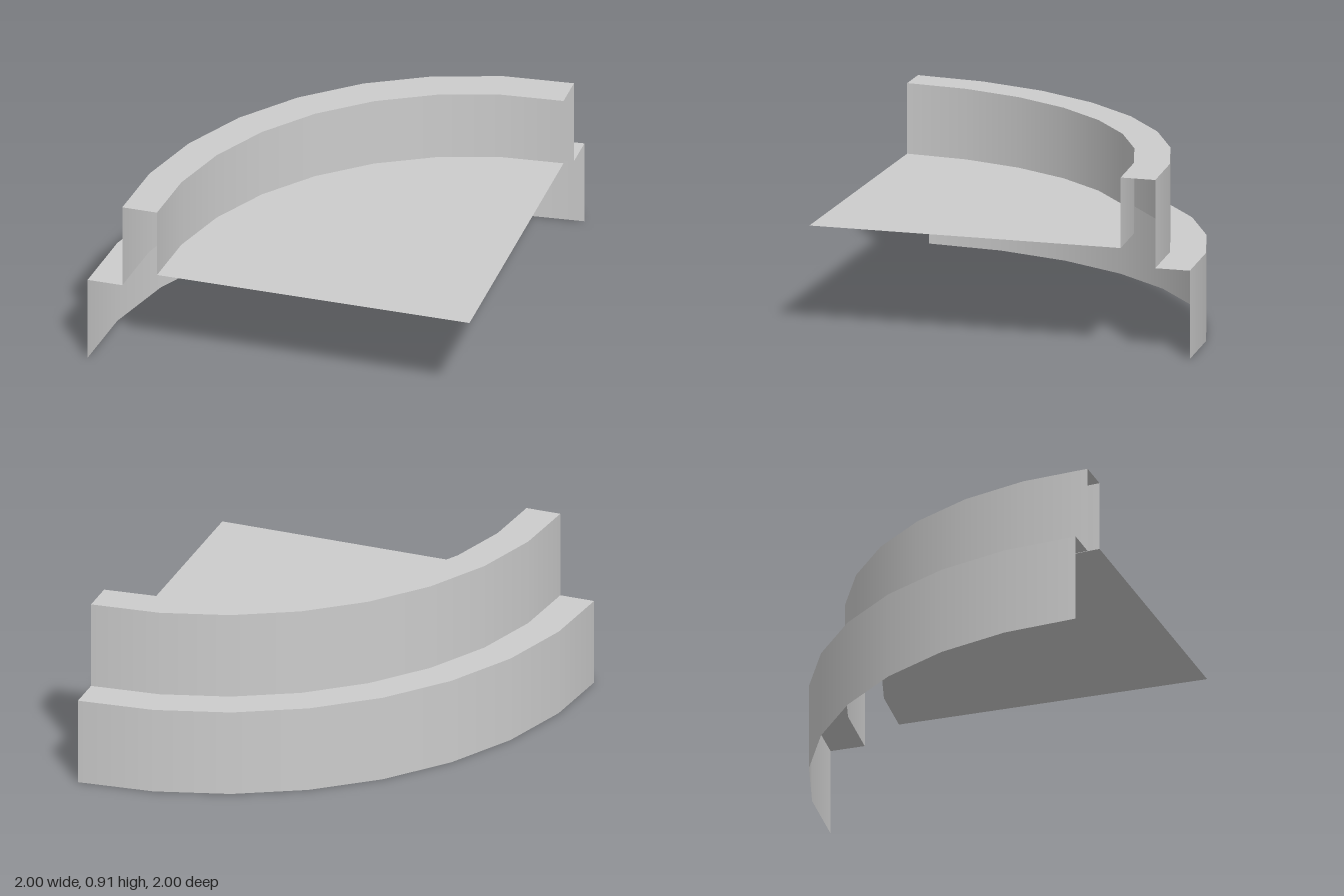
import * as THREE from 'three';

// Quarter-round stepped rim with a flat floor, an open shell swept about one corner.
export function createModel() {
  const group = new THREE.Group();
  group.name = 'quarterRoundRim';
  const lightGrey = new THREE.MeshStandardMaterial({ color: 0xcccccc, side: THREE.DoubleSide });
  lightGrey.name = 'lightGrey';

  const unit = 1 / 11; // the profile lies on a grid of elevenths
  // Profile corners (radius, height), from the outer foot to the centre of the floor
  const profile = [[22, 0], [22, 5], [20, 5], [20, 10], [18, 10], [18, 6], [0, 6]]
    .map(([r, y]) => new THREE.Vector2(r * unit, y * unit));
  const names = ['lowerWall', 'ledge', 'upperWall', 'rimTop', 'innerWall', 'floor'];

  // Each band is swept separately: smooth around the arc, sharp between bands
  names.forEach((name, i) => {
    const band = new THREE.LatheGeometry([profile[i], profile[i + 1]], 8, Math.PI, Math.PI / 2);
    const mesh = new THREE.Mesh(band, lightGrey);
    mesh.name = name;
    mesh.position.set(1, 0, 1);
    group.add(mesh);
  });
  return group;
}
